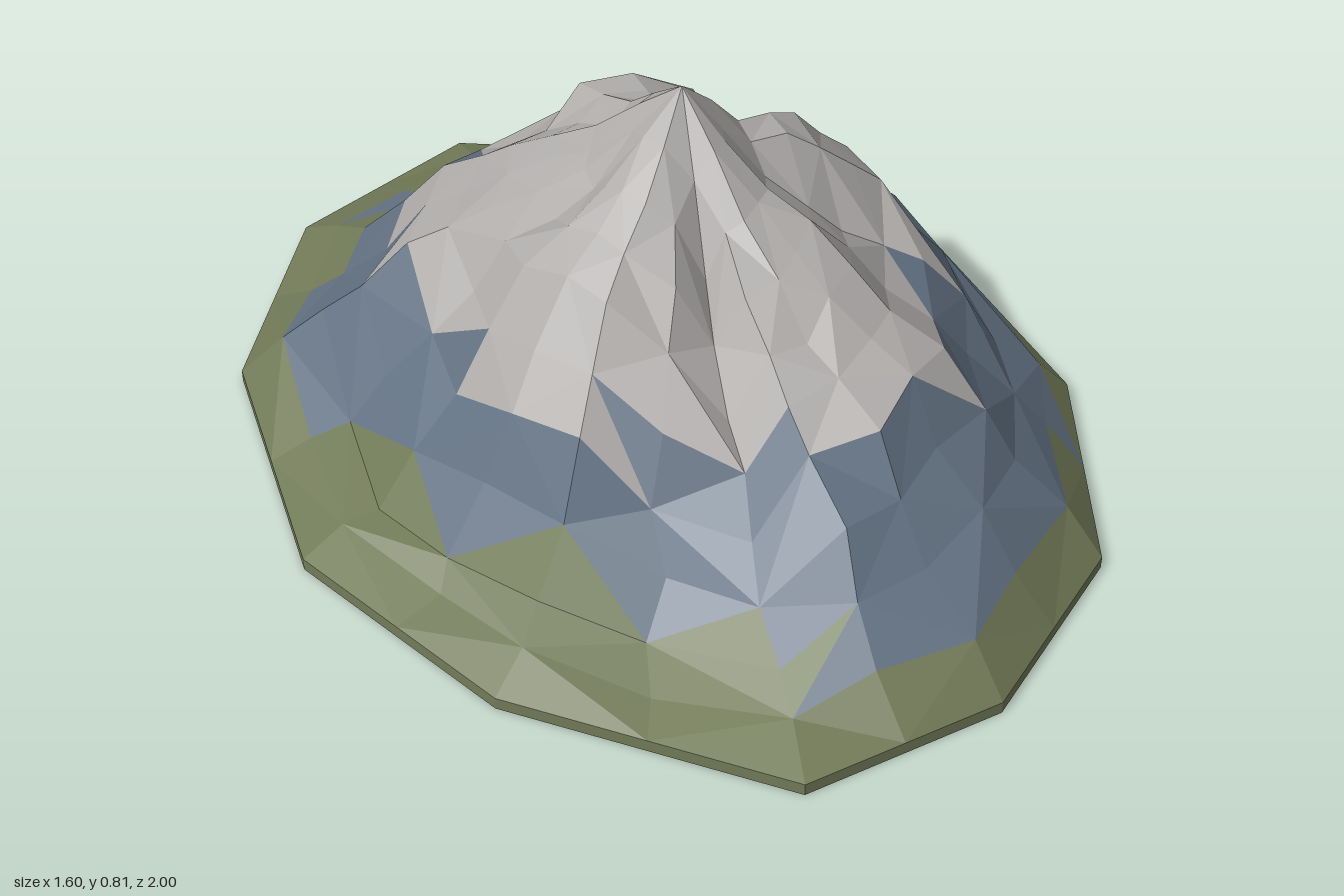
import * as THREE from 'three';

const BASE = 0.026;
const PEAK = new THREE.Vector3(0.02, 0.81, 0.04);

// corners of the ground outline (x, z), clockwise from the back
const RIM = [
  [0.14, -1], [0.56, -0.66], [0.795, -0.12], [0.71, 0.42], [0.43, 0.83], [0.04, 1],
  [-0.36, 0.95], [-0.69, 0.48], [-0.8, -0.02], [-0.64, -0.57], [-0.3, -0.92],
];

// slope heights at 1/5, 2/5, 3/5 and 4/5 of the way from the peak to the rim,
// for every corner and one point on every edge: ridges are high, gullies low
const SLOPES = [
  [0.65, 0.56, 0.31, 0.10], [0.65, 0.59, 0.40, 0.16], // back ridge
  [0.63, 0.56, 0.42, 0.13], [0.57, 0.40, 0.16, 0.07], // back right cliff and gully
  [0.66, 0.60, 0.42, 0.21], [0.65, 0.59, 0.46, 0.21], // right ridge
  [0.60, 0.46, 0.36, 0.18], [0.60, 0.48, 0.35, 0.19],
  [0.64, 0.53, 0.39, 0.20], [0.64, 0.51, 0.41, 0.23], // front spur
  [0.63, 0.47, 0.39, 0.20], [0.61, 0.46, 0.38, 0.20],
  [0.51, 0.36, 0.23, 0.10], [0.62, 0.46, 0.25, 0.08], // front left gully
  [0.66, 0.55, 0.37, 0.11], [0.67, 0.55, 0.34, 0.10], // left ridge
  [0.65, 0.53, 0.28, 0.08], [0.60, 0.50, 0.30, 0.10],
  [0.60, 0.50, 0.37, 0.20], [0.62, 0.50, 0.38, 0.14], // back left ridge
  [0.64, 0.50, 0.36, 0.13], [0.62, 0.50, 0.33, 0.12],
];

const RAYS = SLOPES.length;
const RINGS = 10;
const GULLY_RAY = 3; // the right gully runs close beside the right ridge

function seeded(seed) {
  return () => {
    seed = (seed * 16807) % 2147483647;
    return seed / 2147483647 - 0.5;
  };
}

function flatMaterial(color) {
  return new THREE.MeshStandardMaterial({ color, flatShading: true });
}

// grid of slope points: rays run from the peak to the rim
function slopePoints() {
  const rand = seeded(4711);
  const rays = SLOPES.map((slope, i) => {
    const a = RIM[Math.floor(i / 2)];
    const b = RIM[Math.ceil(i / 2) % RIM.length];
    const along = i === GULLY_RAY ? 0.75 : 0.5;
    const end = new THREE.Vector3(
      THREE.MathUtils.lerp(a[0], b[0], along), BASE, THREE.MathUtils.lerp(a[1], b[1], along));
    const heights = [PEAK.y, ...slope, BASE];
    const ray = [];
    for (let r = 0; r <= RINGS; r++) {
      const t = r / RINGS;
      const p = PEAK.clone().lerp(end, t);
      const k = Math.min(Math.floor(r / 2), 4);
      p.y = THREE.MathUtils.lerp(heights[k], heights[k + 1], r / 2 - k);
      // uneven rock between the peak and the rim
      if (r > 0 && r < RINGS) {
        p.x += rand() * 0.05 * t;
        p.z += rand() * 0.05 * t;
        p.y = Math.max(p.y + rand() * 0.02, BASE + 0.01);
      }
      ray.push(p);
    }
    return ray;
  });
  // neighbouring rays share points near the peak, for broad summit facets
  rays.forEach((ray, i) => {
    ray[1] = rays[i - (i % 2)][1];
  });
  return rays;
}

// height where grass gives way to rock
function grassLine(ray) {
  if (ray >= 4 && ray <= 6) return 0.04;
  if (ray === 17 || ray === 18) return 0.08;
  return ray >= 13 && ray <= 16 ? 0.15 : 0.12;
}

// height where rock gives way to summit stone
function stoneLine(ray) {
  if (ray >= 14 && ray <= 19) return 0.3;
  return ray >= 6 && ray <= 12 ? 0.37 : 0.35;
}

export function createModel() {
  const model = new THREE.Group();
  model.name = 'mountain';

  // ground slab
  const outline = new THREE.Shape(RIM.map(([x, z]) => new THREE.Vector2(x, -z)));
  const slabGeometry = new THREE.ExtrudeGeometry(outline, { depth: BASE, bevelEnabled: false });
  slabGeometry.rotateX(-Math.PI / 2);
  const slab = new THREE.Mesh(slabGeometry, flatMaterial(0x727b58));
  slab.name = 'groundSlab';
  model.add(slab);

  // sort the slope facets into grass, rock and summit stone by height
  const zones = { grassSlope: [], rockSlope: [], summitStone: [] };
  const rand = seeded(99);
  const addFacet = (ray, a, b, c) => {
    if (a === b || b === c || a === c) return;
    const y = (a.y + b.y + c.y) / 3 + rand() * 0.07;
    const zone = y < grassLine(ray) ? 'grassSlope' : y < stoneLine(ray) ? 'rockSlope' : 'summitStone';
    for (const p of [a, b, c]) zones[zone].push(p.x, p.y, p.z);
  };

  const points = slopePoints();
  for (let i = 0; i < RAYS; i++) {
    const here = points[i];
    const next = points[(i + 1) % RAYS];
    addFacet(i, PEAK, next[1], here[1]);
    for (let r = 1; r < RINGS; r++) {
      // alternate the diagonals so the facets look broken
      if ((i + r) % 2) {
        addFacet(i, here[r], next[r + 1], here[r + 1]);
        addFacet(i, here[r], next[r], next[r + 1]);
      } else {
        addFacet(i, here[r], next[r], here[r + 1]);
        addFacet(i, next[r], next[r + 1], here[r + 1]);
      }
    }
  }

  const colors = { grassSlope: 0x727b58, rockSlope: 0x637283, summitStone: 0xb1aeac };
  for (const [name, positions] of Object.entries(zones)) {
    const geometry = new THREE.BufferGeometry();
    geometry.setAttribute('position', new THREE.Float32BufferAttribute(positions, 3));
    geometry.computeVertexNormals();
    const mesh = new THREE.Mesh(geometry, flatMaterial(colors[name]));
    mesh.name = name;
    model.add(mesh);
  }

  return model;
}
